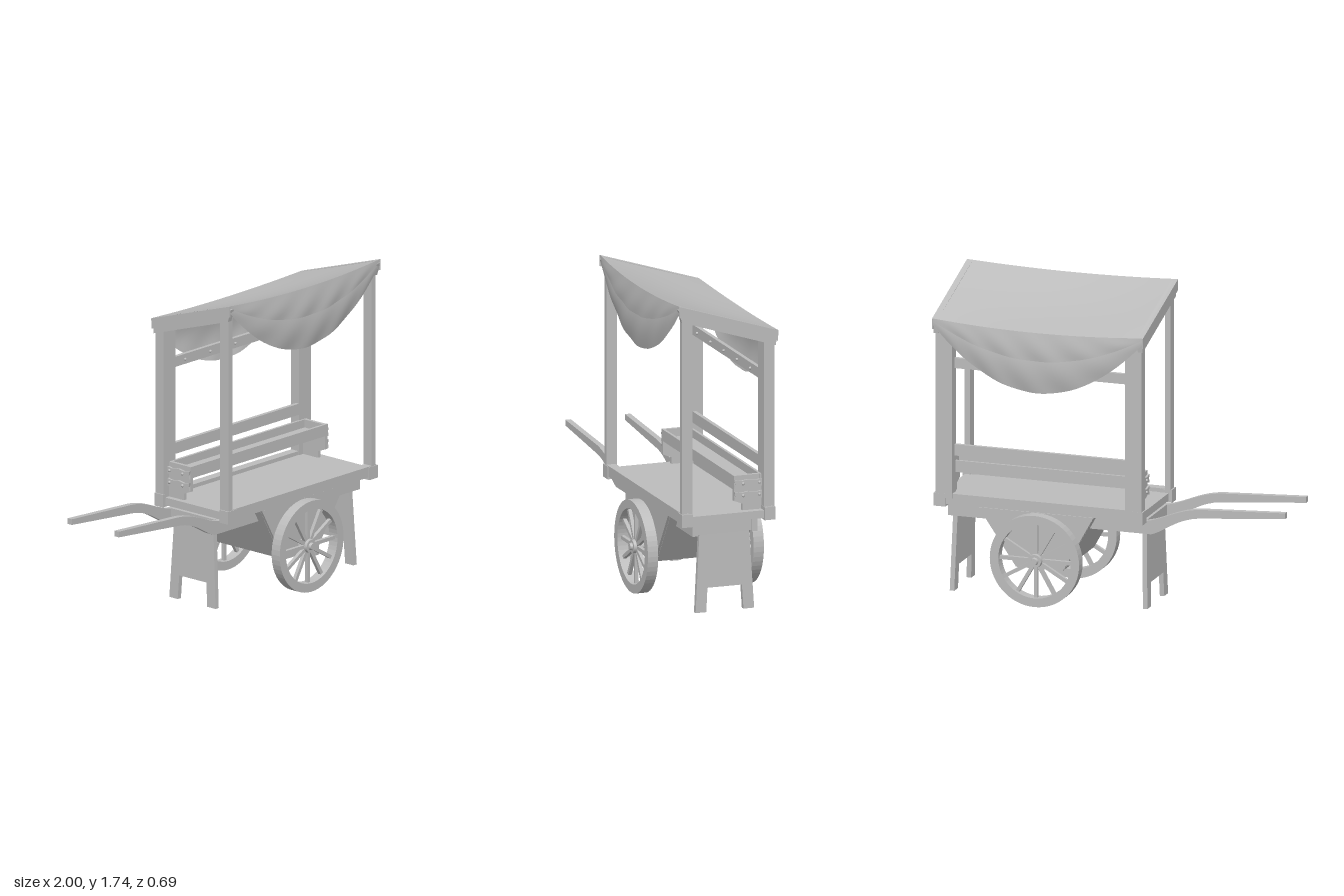
import * as THREE from 'three';

export function createModel() {
  const root = new THREE.Group();
  const grey = new THREE.MeshStandardMaterial({ color: 0xbcbcbc, side: THREE.DoubleSide });
  grey.name = 'plain grey';
  const CX = 0.39; // middle of the cart body along x

  const add = (name, geo, x = 0, y = 0, z = 0, parent = root) => {
    const m = new THREE.Mesh(geo, grey);
    m.name = name;
    m.position.set(x, y, z);
    parent.add(m);
    return m;
  };
  // box given by its limits
  const box = (name, x0, x1, y0, y1, z0, z1, parent = root) =>
    add(name, new THREE.BoxGeometry(x1 - x0, y1 - y0, z1 - z0),
      (x0 + x1) / 2, (y0 + y1) / 2, (z0 + z1) / 2, parent);
  const poly = (pts) => new THREE.Shape(pts.map((p) => new THREE.Vector2(p[0], p[1])));
  const extrude = (shape, depth, curveSegments = 12) =>
    new THREE.ExtrudeGeometry(shape, { depth, bevelEnabled: false, curveSegments });
  // plate drawn in (z, y), thickness along x and centred on 0
  const plateX = (pts, w) => extrude(poly(pts), w).translate(0, 0, -w / 2).rotateY(-Math.PI / 2);

  // deck with side rails and corner blocks
  box('deck', -0.19, 0.98, 0.51, 0.553, -0.215, 0.215);
  for (const s of [-1, 1]) {
    box('deckRail', -0.2, 0.985, 0.515, 0.575, s * 0.24 - 0.026, s * 0.24 + 0.026);
    for (const x of [-0.175, 0.96]) {
      box('cornerBlock', x - 0.035, x + 0.035, 0.5, 0.572, s * 0.24 - 0.031, s * 0.24 + 0.031);
    }
  }

  // chassis beams that sweep up into the pulling handles
  const handle = new THREE.Shape();
  handle.moveTo(0.94, 0.43);
  handle.lineTo(-0.23, 0.43);
  handle.bezierCurveTo(-0.32, 0.46, -0.38, 0.54, -0.54, 0.548);
  handle.lineTo(-1, 0.588);
  handle.lineTo(-1, 0.62);
  handle.lineTo(-0.52, 0.595);
  handle.bezierCurveTo(-0.38, 0.585, -0.3, 0.52, -0.2, 0.503);
  handle.lineTo(0.94, 0.503);
  for (const s of [-1, 1]) add('handleBeam', extrude(handle, 0.032), 0, 0, s * 0.173 - 0.016);

  // notched leg panels at both ends
  const legPts = [[-0.142, 0.48], [-0.17, 0], [-0.108, 0], [-0.1, 0.135],
    [0.1, 0.135], [0.108, 0], [0.17, 0], [0.142, 0.48]];
  for (const s of [-1, 1]) {
    const leg = add('legPanel', plateX(legPts, 0.026), s < 0 ? -0.188 : 0.923);
    leg.rotation.z = s * 0.025;
    const x = s < 0 ? -0.175 : 0.905;
    box('crossBar', x - 0.025, x + 0.025, 0.435, 0.505, -0.158, 0.158);
  }

  // tapered under box with thicker side plates
  const hopper = [[0.08, 0.51], [0.25, 0.2], [0.53, 0.2], [0.74, 0.51]];
  add('underBox', extrude(poly(hopper), 0.48), 0, 0, -0.24);
  const cheek = [[0.08, 0.51], [0.255, 0.195], [0.525, 0.195], [0.74, 0.51]];
  for (const s of [-1, 1]) add('sidePlate', extrude(poly(cheek), 0.014), 0, 0, s * 0.248 - 0.007);

  // spoked wheels
  const rim = new THREE.Shape().absarc(0, 0, 0.257, 0, Math.PI * 2, false);
  rim.holes.push(new THREE.Path().absarc(0, 0, 0.208, 0, Math.PI * 2, true));
  const disc = (r0, r1, h) => new THREE.CylinderGeometry(r0, r1, h, 20).rotateX(Math.PI / 2);
  for (const s of [-1, 1]) {
    const wheel = new THREE.Group();
    wheel.name = 'wheel';
    wheel.position.set(CX, 0.258, s * 0.307);
    if (s < 0) wheel.rotation.y = Math.PI;
    add('rim', extrude(rim, 0.06, 28), 0, 0, -0.03, wheel);
    for (let i = 0; i < 12; i++) {
      const a = (i * Math.PI) / 6;
      const spoke = add('spoke', new THREE.BoxGeometry(0.18, 0.02, 0.02),
        Math.cos(a) * 0.125, Math.sin(a) * 0.125, 0, wheel);
      spoke.rotation.z = a;
    }
    add('hub', disc(0.036, 0.045, 0.052), 0, 0, 0, wheel);
    add('hubCap', disc(0.017, 0.022, 0.016), 0, 0, 0.032, wheel);
    root.add(wheel);
  }
  add('axle', disc(0.02, 0.02, 0.6), CX, 0.258, 0);

  // canopy posts: slim in front, wide behind
  for (const s of [-1, 1]) {
    const post = (name, w, y1, z0, z1) => {
      const outer = CX + s * 0.592, inner = outer - s * w;
      box(name, Math.min(outer, inner), Math.max(outer, inner), 0.55, y1, z0, z1);
    };
    post('frontPost', 0.032, 1.68, 0.205, 0.267);
    post('backPost', 0.095, 1.53, -0.27, -0.21);
    // sloping roof beam at each end
    const beam = [[0.27, 1.65], [-0.275, 1.475], [-0.285, 1.55], [-0.272, 1.563], [0.27, 1.735], [0.29, 1.72]];
    add('roofBeam', plateX(beam, 0.028), CX + s * 0.587);
  }

  // back rails, the upper one with nail heads
  box('lowerBackRail', -0.16, 0.945, 0.782, 0.845, -0.232, -0.21);
  box('upperBackRail', -0.16, 0.945, 1.275, 1.332, -0.232, -0.21);
  for (let i = 0; i < 5; i++) add('nail', disc(0.006, 0.008, 0.012), -0.03 + i * 0.202, 1.302, -0.205);

  // raised tray on the deck
  box('trayFloor', -0.15, 0.935, 0.69, 0.705, -0.21, -0.055);
  box('trayFront', -0.16, 0.945, 0.685, 0.75, -0.065, -0.05);
  box('trayBack', -0.16, 0.945, 0.685, 0.75, -0.215, -0.2);
  const endPts = [[-0.215, 0.55], [-0.1, 0.55], [-0.1, 0.59], [-0.05, 0.61], [-0.05, 0.75], [-0.215, 0.75]];
  const strapPts = [[-0.215, -0.022], [-0.18, -0.015], [-0.13, -0.022], [-0.09, -0.015], [-0.05, -0.024],
    [-0.055, 0], [-0.05, 0.024], [-0.09, 0.015], [-0.13, 0.022], [-0.18, 0.015], [-0.215, 0.022]];
  for (const s of [-1, 1]) {
    add('trayEnd', plateX(endPts, 0.02), CX + s * 0.54);
    for (const y of [0.705, 0.638]) {
      add('trayStrap', plateX(strapPts, 0.012), CX + s * 0.555, y);
      for (const z of [-0.1, -0.195]) {
        add('strapNail', new THREE.SphereGeometry(0.009, 10, 6), CX + s * 0.562, y, z);
      }
    }
  }

  // cloth sheet: a grid bent by rule, t runs -1..1 along x and v runs 0..1 across
  const sheet = (name, rows, rule) => {
    const g = new THREE.PlaneGeometry(2, 1, 32, rows);
    const p = g.attributes.position;
    for (let i = 0; i < p.count; i++) {
      const t = p.getX(i), v = 0.5 - p.getY(i);
      const [y, z] = rule(t, v, 1 - t * t);
      p.setXYZ(i, CX + t * 0.604, y, z);
    }
    g.computeVertexNormals();
    add(name, g);
  };
  const edgeZ = (sag) => 0.287 + 0.018 * sag;
  sheet('canopyTop', 10, (t, v, sag) => [
    1.56 + 0.182 * (1 - v) - sag * (0.022 + 0.02 * Math.sin(Math.PI * v)),
    (1 - 2 * v) * edgeZ(sag),
  ]);
  // swags at front and back: a short upper fold over a longer lower one
  for (const s of [1, -1]) {
    const top = s > 0 ? 1.742 : 1.56;
    const ripple = (t, v) => 0.004 * Math.sin(t * 17 + v * 4) * (1 - t * t);
    sheet('upperSwag', 6, (t, v, sag) => [
      top - 0.022 * sag - v * (0.012 + 0.145 * sag),
      s * (edgeZ(sag) + sag * 0.014 * Math.sin(v * 2) + ripple(t, v) * v),
    ]);
    sheet('lowerSwag', 8, (t, v, sag) => [
      top - 0.022 * sag - 0.012 - 0.11 * sag - v * (0.025 + 0.195 * sag),
      s * (0.284 + sag * (0.012 + 0.018 * Math.sin(Math.PI * (0.2 + v * 0.8))) + ripple(t, v + 1) * v),
    ]);
  }
  // hems over the canopy ends
  for (const s of [-1, 1]) {
    const hem = [[0.288, 1.68], [-0.284, 1.5], [-0.289, 1.558], [0.289, 1.742]];
    add('endHem', plateX(hem, 0.006), CX + s * 0.604);
  }
  return root;
}
